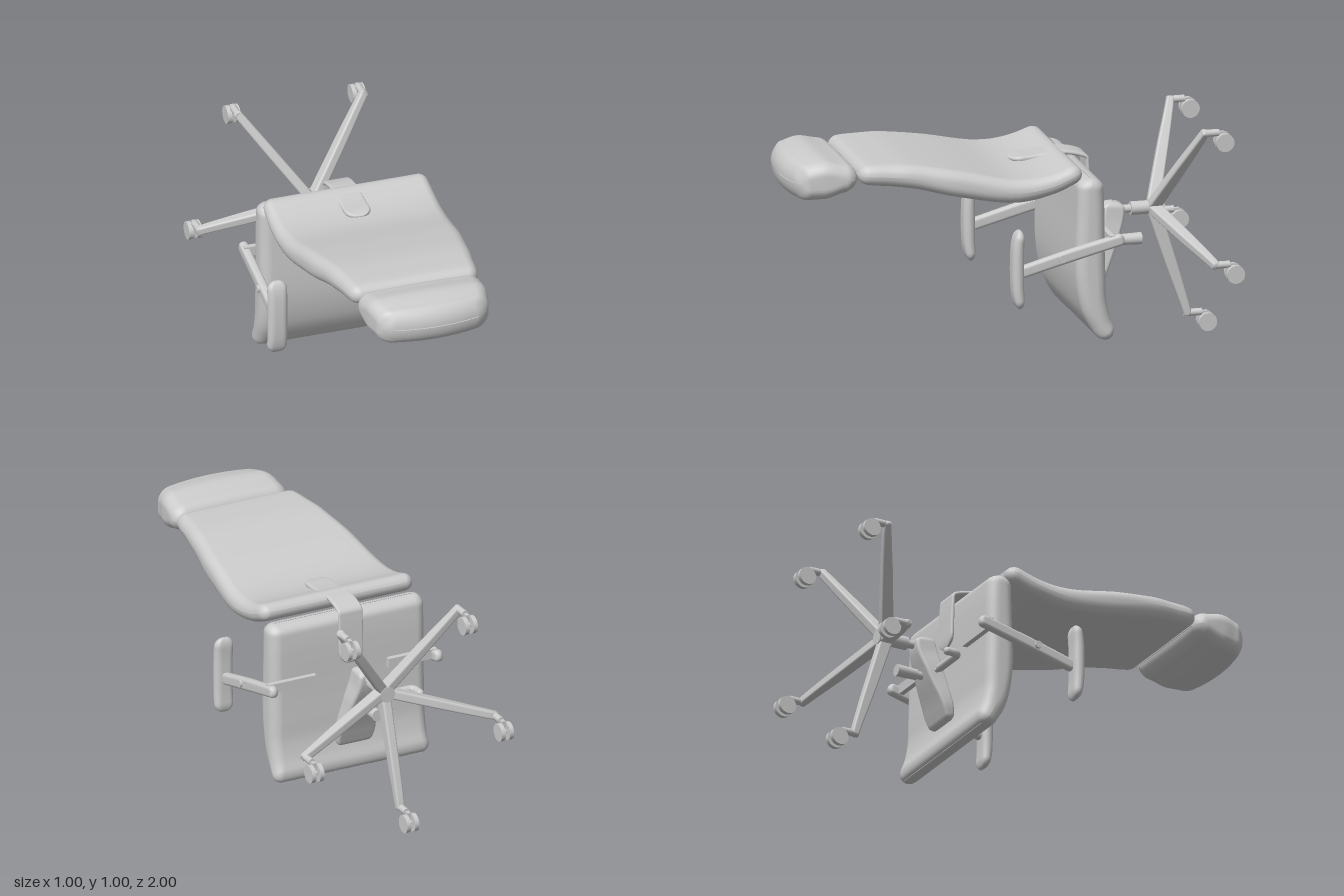
import * as THREE from 'three';

const material = new THREE.MeshStandardMaterial({ color: 0xcccccc, side: THREE.DoubleSide });

function addMesh(parent, name, geometry, x = 0, y = 0, z = 0) {
  const mesh = new THREE.Mesh(geometry, material);
  mesh.name = name;
  mesh.position.set(x, y, z);
  parent.add(mesh);
  return mesh;
}

// Outline of a rounded rectangle, counter-clockwise, as [x, n] pairs
function roundedRing(hw, ht, radius) {
  const r = Math.min(radius, hw, ht), ring = [];
  [[1, 1], [-1, 1], [-1, -1], [1, -1]].forEach(([sx, sn], q) => {
    for (let k = 0; k <= 6; k++) {
      const a = (q + k / 6) * Math.PI / 2;
      ring.push([sx * (hw - r) + r * Math.cos(a), sn * (ht - r) + r * Math.sin(a)]);
    }
    // Extra points along the two wide faces
    if (q % 2 === 0) for (let k = 1; k < 8; k++) ring.push([sx * (hw - r) * (1 - k / 4), sn * ht]);
  });
  return ring;
}

// Soft solid swept in the y-z plane. Stations: [y, z, half width, half thickness].
// The ends are rounded off over the length "end".
function loft(stations, end, radius = 0.05, n = 44) {
  const path = new THREE.CatmullRomCurve3(stations.map(s => new THREE.Vector3(0, s[0], s[1])));
  const size = new THREE.CatmullRomCurve3(stations.map(s => new THREE.Vector3(s[2], s[3], 0)), false, 'catmullrom', 0.3);
  const us = [], points = [], dist = [0];
  for (let i = 0; i <= n; i++) {
    us.push(0.5 - 0.5 * Math.cos(Math.PI * i / n));
    points.push(path.getPoint(us[i]));
    if (i) dist.push(dist[i - 1] + points[i].distanceTo(points[i - 1]));
  }
  const X = new THREE.Vector3(1, 0, 0), pos = [], index = [];
  let m = 0;
  for (let i = 0; i <= n; i++) {
    const t = path.getTangent(us[i]), normal = t.clone().cross(X), s = size.getPoint(us[i]);
    const d = Math.min(dist[i], dist[n] - dist[i], end) / end;
    const f = Math.max(0.02, Math.sqrt(1 - (1 - d) ** 2));
    const ring = roundedRing(Math.max(s.x - end * (1 - f), 0.002), s.y * f, radius);
    m = ring.length;
    for (const [x, k] of ring) pos.push(x, points[i].y + normal.y * k, points[i].z + normal.z * k);
  }
  for (let i = 0; i < n; i++) for (let j = 0; j < m; j++) {
    const a = i * m + j, b = i * m + (j + 1) % m;
    index.push(a, b, b + m, a, b + m, a + m);
  }
  const geometry = new THREE.BufferGeometry();
  geometry.setAttribute('position', new THREE.Float32BufferAttribute(pos, 3));
  geometry.setIndex(index);
  geometry.computeVertexNormals();
  return geometry;
}

function rod(radius, length, axis, radiusEnd = radius) {
  const g = new THREE.CylinderGeometry(radiusEnd, radius, length, 24);
  return axis === 'x' ? g.rotateZ(Math.PI / 2) : g.rotateX(Math.PI / 2);
}

export function createModel() {
  const model = new THREE.Group();
  model.name = 'recliningOfficeChair';

  // Cushions
  addMesh(model, 'seat', loft([
    [0.83, -0.335, 0.385, 0.057], [0.7, -0.337, 0.385, 0.062], [0.4, -0.336, 0.385, 0.068],
    [0.25, -0.352, 0.385, 0.06], [0.15, -0.39, 0.385, 0.048], [0.098, -0.425, 0.385, 0.035]], 0.04));
  addMesh(model, 'backrest', loft([
    [0.868, -0.295, 0.38, 0.038], [0.815, -0.155, 0.386, 0.044], [0.796, 0, 0.384, 0.053],
    [0.84, 0.25, 0.362, 0.059], [0.882, 0.46, 0.332, 0.053], [0.893, 0.6, 0.31, 0.048],
    [0.897, 0.7, 0.293, 0.042]], 0.045));
  const headGeometry = loft([
    [0.872, 0.7, 0.285, 0.062], [0.88, 0.76, 0.285, 0.07], [0.877, 0.85, 0.278, 0.092],
    [0.866, 0.94, 0.262, 0.086], [0.866, 1, 0.25, 0.08]], 0.055, 0.06);
  // Bow the far end and crown the faces
  const p = headGeometry.attributes.position;
  for (let i = 0; i < p.count; i++) {
    const w = (p.getX(i) / 0.28) ** 2, t = (p.getZ(i) - 0.7) / 0.3;
    p.setZ(i, p.getZ(i) - 0.05 * w * t * t);
    p.setY(i, 0.873 + (p.getY(i) - 0.873) * (1 - 0.12 * w));
  }
  headGeometry.computeVertexNormals();
  addMesh(model, 'headrest', headGeometry);

  // Strap joining the back to the seat
  addMesh(model, 'backStrap', loft([
    [0.855, -0.052, 0.06, 0.012], [0.86, -0.16, 0.06, 0.012], [0.876, -0.28, 0.06, 0.01],
    [0.858, -0.375, 0.06, 0.009], [0.845, -0.398, 0.06, 0.008], [0.82, -0.402, 0.06, 0.008],
    [0.6, -0.41, 0.06, 0.01]], 0.055, 0.01, 60));

  // Armrests
  for (const side of [1, -1]) {
    const arm = new THREE.Group();
    arm.name = side > 0 ? 'leftArmrest' : 'rightArmrest';
    addMesh(arm, 'armPad', loft([
      [0.28, 0.006, 0.045, 0.019], [0.36, 0.016, 0.045, 0.025], [0.46, 0.018, 0.045, 0.027],
      [0.56, 0.016, 0.045, 0.025], [0.638, 0.006, 0.045, 0.019]], 0.042), side * 0.412);
    addMesh(arm, 'armBar', loft([
      [0.44, 0.01, 0.02, 0.027], [0.505, -0.23, 0.02, 0.028], [0.565, -0.472, 0.02, 0.026]],
      0.02, 0.015), side * 0.41);
    addMesh(arm, 'armBracket', new THREE.BoxGeometry(0.24, 0.045, 0.024), side * 0.3, 0.56, -0.415);
    addMesh(arm, 'armKnob', rod(0.017, 0.03, 'x'), side * 0.425, 0.497, -0.185);
    model.add(arm);
  }

  // Tilt mechanism and its controls
  addMesh(model, 'tiltHousing', loft([
    [0.222, -0.428, 0.085, 0.02], [0.3, -0.447, 0.092, 0.029], [0.45, -0.494, 0.068, 0.042],
    [0.56, -0.524, 0.046, 0.05], [0.622, -0.532, 0.04, 0.046]], 0.025, 0.015));
  addMesh(model, 'tensionStem', rod(0.018, 0.12, 'z'), 0, 0.442, -0.53);
  addMesh(model, 'tensionKnob', rod(0.027, 0.1, 'z', 0.024), 0, 0.442, -0.61);
  addMesh(model, 'leverRod', rod(0.011, 0.12, 'x'), -0.07, 0.45, -0.495);
  const handle = new THREE.CatmullRomCurve3([[-0.1, -0.495], [-0.2, -0.495], [-0.252, -0.497], [-0.265, -0.51], [-0.268, -0.552]]
    .map(([x, z]) => new THREE.Vector3(x, 0.45, z)));
  addMesh(model, 'leverHandle', new THREE.TubeGeometry(handle, 30, 0.018, 14));
  for (const q of [handle.points[0], handle.points[4]])
    addMesh(model, 'leverEnd', new THREE.SphereGeometry(0.018, 14, 10), q.x, q.y, q.z);

  // Lift column and hub
  const hubY = 0.582;
  addMesh(model, 'liftPiston', rod(0.018, 0.12, 'z'), 0, hubY, -0.59);
  addMesh(model, 'liftColumn', rod(0.03, 0.1, 'z'), 0, hubY, -0.66);
  addMesh(model, 'hub', rod(0.036, 0.065, 'z', 0.03), 0, hubY, -0.725);

  // Five legs with twin-wheel casters
  for (let k = 0; k < 5; k++) {
    const a = k * Math.PI * 2 / 5;
    const leg = addMesh(model, 'leg', loft([
      [0, -0.712, 0.022, 0.03], [-0.25, -0.792, 0.021, 0.026], [-0.46, -0.86, 0.019, 0.019],
      [-0.51, -0.874, 0.018, 0.016]], 0.012, 0.009, 24), 0, hubY, 0);
    leg.rotation.z = a;
    const x = 0.495 * Math.sin(a), y = hubY - 0.495 * Math.cos(a);
    const caster = new THREE.Group();
    caster.name = 'caster';
    caster.position.set(x, y, 0);
    addMesh(caster, 'casterStem', rod(0.016, 0.08, 'z'), 0, 0, -0.895);
    addMesh(caster, 'casterFork', new THREE.BoxGeometry(0.018, 0.055, 0.04), 0, -0.022, -0.94);
    addMesh(caster, 'casterAxle', rod(0.01, 0.05, 'x'), 0, -0.043, -0.958);
    for (const s of [1, -1]) addMesh(caster, 'casterWheel', rod(0.041, 0.02, 'x'), s * 0.02, -0.043, -0.958);
    model.add(caster);
  }
  return model;
}
